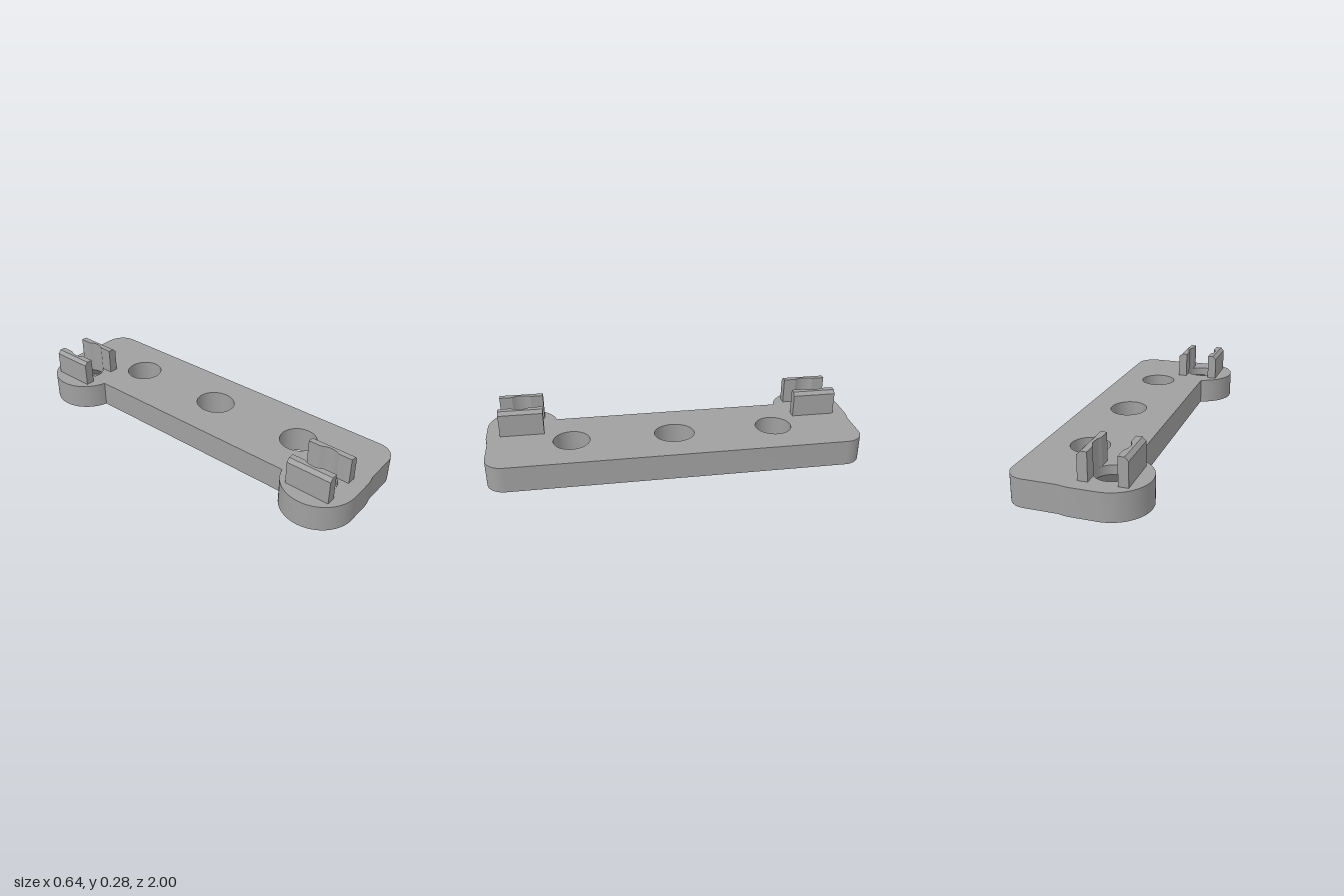
import * as THREE from 'three';
import { mergeGeometries, toCreasedNormals } from 'three/addons/utils/BufferGeometryUtils.js';

const THICK = 0.14, EAR_X = -0.13, EAR_Z = 0.81, EAR_R = 0.19;
const BORE = 0.085, SINK = 0.165, SEG = 24;

// Plan outline: a strip with two round ears on its right-hand edge
function outline() {
  const s = new THREE.Shape();
  const edge = -0.175, dy = Math.sqrt(EAR_R ** 2 - (edge - EAR_X) ** 2);
  const a = Math.atan2(dy, edge - EAR_X);
  s.moveTo(edge, -EAR_Z + dy);
  s.absarc(EAR_X, -EAR_Z, EAR_R, a, Math.PI * 1.5, false);
  s.lineTo(-0.01, -1);
  s.bezierCurveTo(0.03, -1, 0.04, -0.99, 0.07, -0.99);
  s.lineTo(0.22, -0.99);
  s.absarc(0.22, -0.89, 0.1, -Math.PI / 2, 0, false);
  s.lineTo(0.32, 0.89);
  s.absarc(0.22, 0.89, 0.1, 0, Math.PI / 2, false);
  s.lineTo(0.07, 0.99);
  s.bezierCurveTo(0.04, 0.99, 0.03, 1, -0.01, 1);
  s.lineTo(EAR_X, 1);
  s.absarc(EAR_X, EAR_Z, EAR_R, Math.PI / 2, Math.PI * 2 - a, false);
  s.closePath();
  // Three through holes, the middle one slightly elongated
  for (const [z, rz] of [[-0.55, 0.0975], [0, 0.108], [0.55, 0.0975]]) {
    s.holes.push(new THREE.Path().absellipse(0.083, z, 0.0975, rz, 0, Math.PI * 2, true));
  }
  return s;
}

// One face of the plate, with ear holes of the given radius
function face(earHole) {
  const s = outline();
  for (const z of [-EAR_Z, EAR_Z]) {
    s.holes.push(new THREE.Path().absarc(EAR_X, z, earHole, 0, Math.PI * 2, true));
  }
  return new THREE.ShapeGeometry(s, SEG).toNonIndexed();
}

// Plate: side walls, top and bottom faces, countersunk ear holes
function plateGeometry() {
  const solid = new THREE.ExtrudeGeometry(outline(), { depth: THICK, bevelEnabled: false, curveSegments: SEG });
  const { start, count } = solid.groups[1];
  const walls = new THREE.BufferGeometry();
  for (const name of ['position', 'normal', 'uv']) {
    const src = solid.attributes[name], n = src.itemSize;
    walls.setAttribute(name, new THREE.BufferAttribute(src.array.slice(start * n, (start + count) * n), n));
  }
  walls.rotateX(-Math.PI / 2);
  const top = face(BORE).rotateX(-Math.PI / 2).translate(0, THICK, 0);
  const bottom = face(SINK).rotateX(Math.PI / 2);
  const profile = [[BORE, THICK], [BORE, 0.093], [SINK, 0.015], [SINK, 0]].map(p => new THREE.Vector2(...p));
  const bores = [-EAR_Z, EAR_Z].map(z =>
    new THREE.LatheGeometry(profile, SEG * 2).toNonIndexed().translate(EAR_X, 0, z));
  return toCreasedNormals(mergeGeometries([walls, top, bottom, ...bores]), 0.5);
}

// Clip jaw: upright wall scooped by the bore, outer top edge chamfered
function jawGeometry() {
  const inner = 0.069, outer = 0.1175, half = 0.1175, height = 0.14, chamfer = 0.018;
  const a = Math.acos(inner / BORE);
  const s = new THREE.Shape();
  s.moveTo(inner, -half);
  s.lineTo(outer, -half);
  s.lineTo(outer, half);
  s.lineTo(inner, half);
  s.absarc(0, 0, BORE, a, -a, true);
  s.closePath();
  const g = new THREE.ExtrudeGeometry(s, { depth: height, steps: 2, bevelEnabled: false, curveSegments: 10 });
  const p = g.attributes.position;
  for (let i = 0; i < p.count; i++) {
    const z = p.getZ(i);
    if (z > height * 0.9) {
      if (p.getX(i) > outer - 0.001) p.setX(i, outer - chamfer);
    } else if (z > height * 0.1) {
      p.setZ(i, height - chamfer);
    }
  }
  g.rotateX(-Math.PI / 2);
  return toCreasedNormals(g, 0.5);
}

export function createModel() {
  const model = new THREE.Group();
  model.name = 'mountingBracket';
  const grey = new THREE.MeshStandardMaterial({ color: 0xa0a0a0 });
  grey.name = 'grey';

  const plate = new THREE.Mesh(plateGeometry(), grey);
  plate.name = 'plate';
  model.add(plate);

  // A pair of facing jaws over each ear hole
  const jaw = jawGeometry();
  for (const [name, z] of [['frontClip', EAR_Z], ['backClip', -EAR_Z]]) {
    const clip = new THREE.Group();
    clip.name = name;
    clip.position.set(EAR_X, THICK, z);
    for (const [side, turn] of [['leftJaw', 0], ['rightJaw', Math.PI]]) {
      const m = new THREE.Mesh(jaw, grey);
      m.name = side;
      m.rotation.y = turn;
      clip.add(m);
    }
    model.add(clip);
  }
  return model;
}
